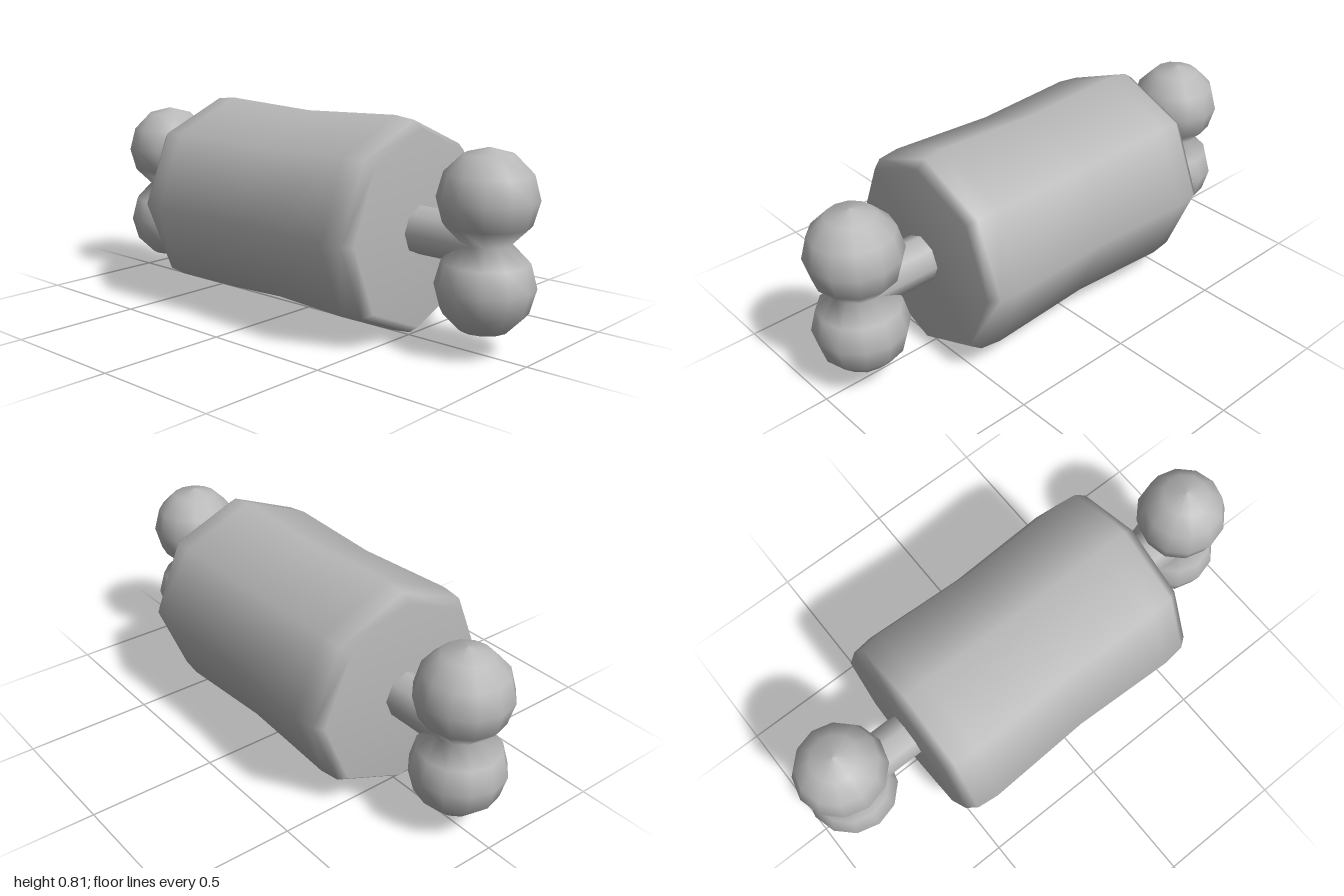
import * as THREE from 'three';

const CENTRE_Y = 0.405;
const KNOB_R = 0.177;
const KNOB_X = 0.823;

// Lathe from [radius, height] pairs listed bottom to top
function lathe(points, sides) {
  return new THREE.LatheGeometry(points.map(([r, y]) => new THREE.Vector2(r, y)), sides);
}

export function createModel() {
  const group = new THREE.Group();
  const grey = new THREE.MeshStandardMaterial({ color: 0xb8b8b8 });
  grey.name = 'grey';

  function add(name, geometry, x) {
    const mesh = new THREE.Mesh(geometry, grey);
    mesh.name = name;
    mesh.position.set(x, CENTRE_Y, 0);
    group.add(mesh);
  }

  // Eight-sided meat with a slight waist and bevelled ends
  const half = [[0.385, 0], [0.403, 0.42], [0.393, 0.505], [0.365, 0.542], [0, 0.542]];
  const profile = [
    ...half.slice(1).reverse().map(([r, y]) => [r, -y]),
    ...half,
  ];
  add('meat', lathe(profile, 8).rotateZ(-Math.PI / 2), 0);

  // Double knob: two spheres sharing the ring where they meet
  const offset = KNOB_R * Math.cos(Math.PI / 6);
  const upper = [];
  for (let i = 5; i >= 0; i--) {
    const a = (i * Math.PI) / 6;
    upper.push([i === 0 ? 0 : KNOB_R * Math.sin(a), offset + KNOB_R * Math.cos(a)]);
  }
  const knobs = [...upper.slice(1).reverse().map(([r, y]) => [r, -y]), ...upper];

  for (const side of [-1, 1]) {
    const label = side > 0 ? 'left' : 'right';
    // Bone shaft running from the meat into the knobs
    const shaft = new THREE.CylinderGeometry(0.09, 0.09, 0.32, 8, 1, true).rotateZ(-Math.PI / 2);
    add(label + 'BoneShaft', shaft, side * 0.66);
    add(label + 'BoneKnobs', lathe(knobs, 12), side * KNOB_X);
  }
  return group;
}
